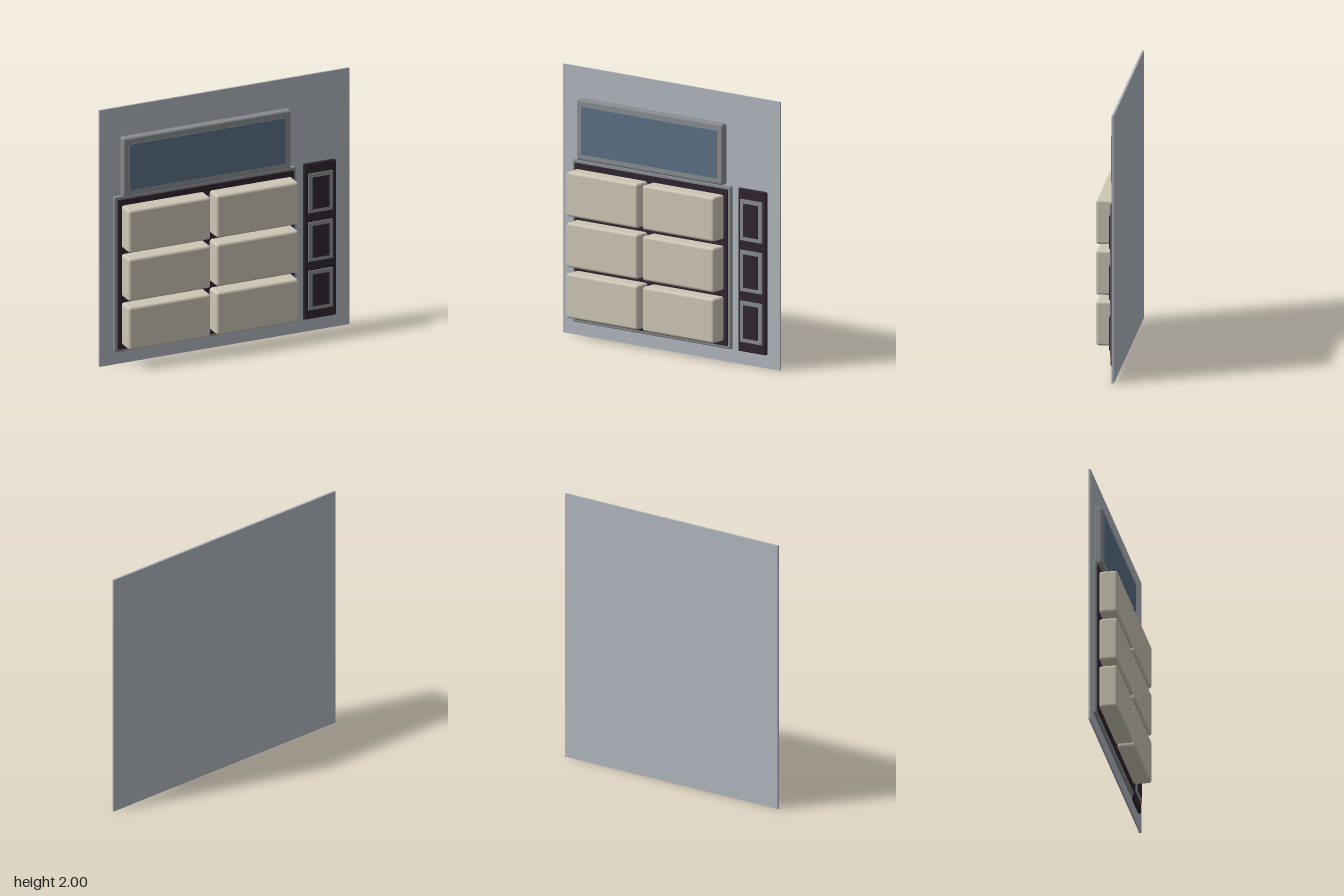
import * as THREE from 'three';
import { RoundedBoxGeometry } from 'three/addons/geometries/RoundedBoxGeometry.js';

const mat = (name, color) => {
  const m = new THREE.MeshStandardMaterial({ color });
  m.name = name;
  return m;
};

export function createModel() {
  const group = new THREE.Group();
  const panelGrey = mat('panelGrey', 0xb0b5be);
  const frameGrey = mat('frameGrey', 0x888c90);
  const darkPlum = mat('darkPlum', 0x30242f);
  const cream = mat('cream', 0xcdc6b6);
  const glassBlue = mat('glassBlue', 0x5a7084);

  // Box given by its extents; radius > 0 rounds the edges
  function slab(name, material, [x0, x1], [y0, y1], [z0, z1], radius = 0) {
    const w = x1 - x0, h = y1 - y0, d = z1 - z0;
    const geo = radius
      ? new RoundedBoxGeometry(w, h, d, 3, radius)
      : new THREE.BoxGeometry(w, h, d);
    const mesh = new THREE.Mesh(geo, material);
    mesh.name = name;
    mesh.position.set((x0 + x1) / 2, (y0 + y1) / 2, (z0 + z1) / 2);
    group.add(mesh);
  }

  // Backing panel
  slab('backPanel', panelGrey, [-1, 1], [0, 2], [-0.092, -0.077]);

  // Display with its raised surround
  slab('displayFrame', frameGrey, [-0.835, 0.51], [1.318, 1.772], [-0.085, -0.021], 0.016);
  slab('displayGlass', glassBlue, [-0.785, 0.46], [1.366, 1.72], [-0.022, -0.014]);

  // Key tray
  slab('keyTrayFrame', frameGrey, [-0.892, 0.564], [0.099, 1.313], [-0.085, -0.053], 0.01);
  slab('keyTrayBed', darkPlum, [-0.866, 0.54], [0.123, 1.287], [-0.06, -0.042]);

  // Side strip
  slab('sideStrip', darkPlum, [0.628, 0.885], [0.099, 1.313], [-0.085, -0.056], 0.01);

  // Three rows: two large keys and one small switch each
  for (let row = 0; row < 3; row++) {
    const y = 0.326 + row * 0.3785;
    for (const x of [-0.514, 0.189]) {
      slab('key', cream, [x - 0.329, x + 0.329], [y - 0.166, y + 0.166], [-0.045, 0.092], 0.02);
    }
    slab('switchFrame', frameGrey, [0.657, 0.856], [y - 0.153, y + 0.153], [-0.06, -0.047]);
    slab('switchFace', darkPlum, [0.69, 0.823], [y - 0.123, y + 0.123], [-0.048, -0.039]);
  }

  return group;
}
